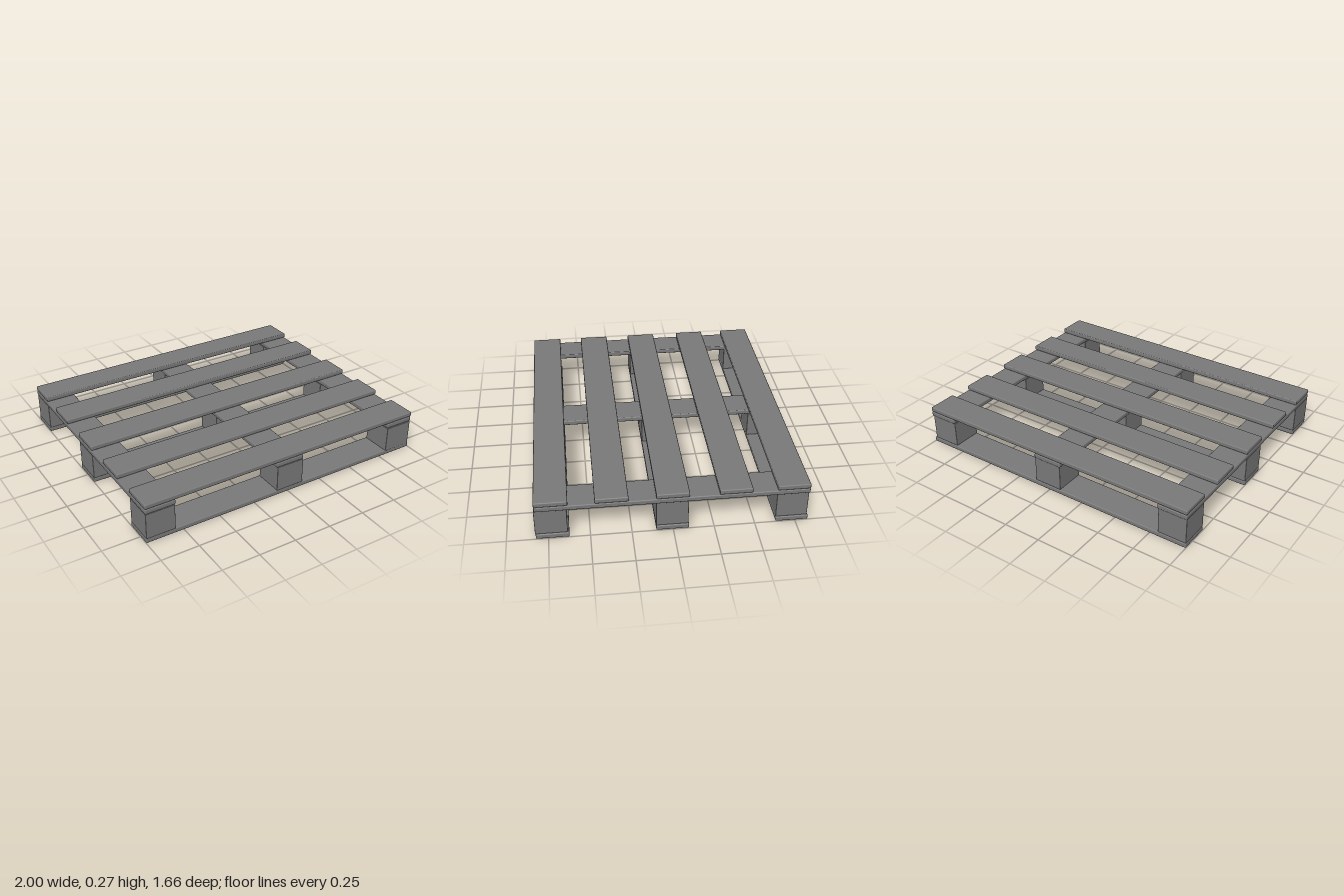
import * as THREE from 'three';
import { RoundedBoxGeometry } from 'three/addons/geometries/RoundedBoxGeometry.js';

const WIDTH = 0.2; // face width shared by every board
const THICK = 0.032;

export function createModel() {
  const pallet = new THREE.Group();
  pallet.name = 'pallet';
  const wood = new THREE.MeshStandardMaterial({ color: 0x797979 });

  // Timber with slightly eased edges; y is its underside
  const timber = (name, [w, h, d], x, y, z, ease = 0.007) => {
    const mesh = new THREE.Mesh(new RoundedBoxGeometry(w, h, d, 2, ease), wood);
    mesh.name = name;
    mesh.position.set(x, y + h / 2, z);
    pallet.add(mesh);
  };

  // Bottom runners along x
  for (const z of [-0.73, 0.003, 0.725]) {
    timber('bottomRunner', [2, THICK, WIDTH], 0, 0, z);
  }

  // Nine spacer blocks; the front left one sits slightly proud
  for (const z of [-0.727, 0.004, 0.727]) {
    for (const x of [-0.902, 0.012, 0.894]) {
      const proud = x > 0.5 && z > 0.5 ? 0.004 : 0;
      timber('spacerBlock', [0.193, 0.172, 0.195], x, 0.031, z + proud, 0.003);
    }
  }

  // Stringer boards along z
  for (const x of [-0.9, 0.009, 0.899]) {
    timber('stringerBoard', [WIDTH, THICK, 1.654], x, 0.203, -0.003);
  }

  // Five deck boards along x
  for (const z of [-0.73, -0.378, 0.002, 0.367, 0.725]) {
    timber('deckBoard', [2, THICK, WIDTH], 0, 0.237, z);
  }

  return pallet;
}
